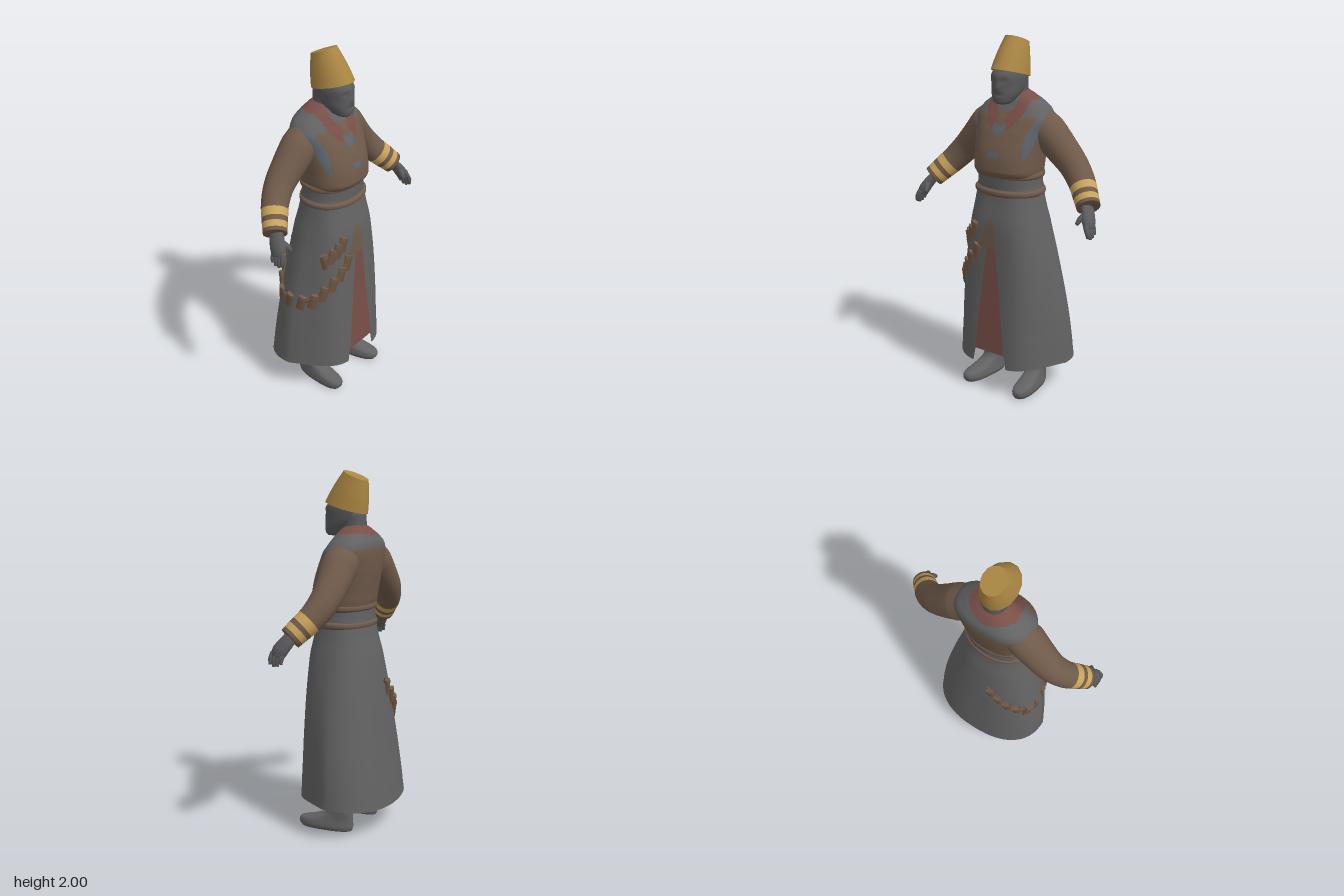
import * as THREE from 'three';

const mat = (name, color) => {
  const m = new THREE.MeshStandardMaterial({ color, side: THREE.DoubleSide });
  m.name = name;
  return m;
};

// Closed skin of rings; paint(point, v) picks a material for each face
function skin(name, rows, cols, point, mats, paint = () => 0, caps = true) {
  const pos = [], ring = [];
  for (let j = 0; j <= rows; j++) for (let i = 0; i < cols; i++) ring.push(point(i, j / rows));
  ring.forEach(p => pos.push(p.x, p.y, p.z));
  const lists = mats.map(() => []);
  for (let j = 0; j < rows; j++) for (let i = 0; i < cols; i++) {
    const k = (i + 1) % cols, a = j * cols + i, b = j * cols + k, c = a + cols, d = b + cols;
    const mid = ring[a].clone().add(ring[d]).multiplyScalar(0.5);
    lists[paint(mid, (j + 0.5) / rows)].push(a, c, b, b, c, d);
  }
  if (caps) for (const j of [0, rows]) {
    const c = new THREE.Vector3(), n = pos.length / 3;
    for (let i = 0; i < cols; i++) c.addScaledVector(ring[j * cols + i], 1 / cols);
    pos.push(c.x, c.y, c.z);
    for (let i = 0; i < cols; i++) {
      const a = j * cols + i, b = j * cols + (i + 1) % cols;
      lists[0].push(...(j ? [n, b, a] : [n, a, b]));
    }
  }
  const geo = new THREE.BufferGeometry();
  geo.setAttribute('position', new THREE.Float32BufferAttribute(pos, 3));
  geo.setIndex(lists.flat());
  let start = 0;
  if (mats.length > 1) lists.forEach((l, i) => { geo.addGroup(start, l.length, i); start += l.length; });
  geo.computeVertexNormals();
  const mesh = new THREE.Mesh(geo, mats.length > 1 ? mats : mats[0]);
  mesh.name = name;
  return mesh;
}

// Profile keys are [y, halfWidth, frontZ, backZ]
function at(keys, t) {
  const last = keys.length - 1, i = Math.min(Math.floor(t), last - 1), f = t - i;
  const [p, a, b, q] = [i - 1, i, i + 1, i + 2].map(k => keys[Math.max(0, Math.min(last, k))]);
  return a.map((v, c) => c === 0 ? v + (b[0] - v) * f
    : v + 0.5 * f * (b[c] - p[c] + f * (2 * p[c] - 5 * v + 4 * b[c] - q[c] + f * (3 * (v - b[c]) + q[c] - p[c]))));
}
function atY(keys, y) {
  let i = 0;
  while (i < keys.length - 2 && y > keys[i + 1][0]) i++;
  return at(keys, i + Math.max(0, Math.min(1, (y - keys[i][0]) / (keys[i + 1][0] - keys[i][0]))));
}
// Rounded outline; the front half may narrow toward +z by the share k
function around([y, rx, zf, zb], th, nf, nb = nf, k = 0, off = 0) {
  const n = Math.sin(th) > 0 ? nf : nb;
  const f = v => Math.sign(v) * Math.abs(v) ** (2 / n), s = f(Math.sin(th));
  return new THREE.Vector3((rx + off) * f(Math.cos(th)) * (1 - k * Math.max(0, s)), y,
    (zf + zb) / 2 + ((zf - zb) / 2 + off) * s);
}
function body(name, keys, mats, { cols = 40, sub = 4, n = 2.2, paint, sculpt = p => p } = {}) {
  return skin(name, (keys.length - 1) * sub, cols,
    (i, v) => sculpt(around(at(keys, v * (keys.length - 1)), i / cols * 2 * Math.PI, n)), mats, paint);
}

// Tapered limb through [x, y, z, radius] points
function limb(name, pts, mats, { rows = 16, cols = 12, flat = 1, paint } = {}) {
  const curve = new THREE.CatmullRomCurve3(pts.map(p => new THREE.Vector3(p[0], p[1], p[2])));
  return skin(name, rows, cols, (i, v) => {
    const s = v * (pts.length - 1), k = Math.min(Math.floor(s), pts.length - 2);
    const r = THREE.MathUtils.lerp(pts[k][3], pts[k + 1][3], s - k);
    const T = curve.getTangent(v), A = T.clone().cross(new THREE.Vector3(0, 0, 1)).normalize();
    const B = A.clone().cross(T), th = i / cols * 2 * Math.PI;
    return curve.getPoint(v).addScaledVector(A, r * flat * Math.cos(th)).addScaledVector(B, r * Math.sin(th));
  }, mats, paint);
}

// Skirt: oval at the waist, flat-fronted with slanting sides at the hem
const SKIRT = [[0.1, 0.36, 0.258, -0.26], [0.2, 0.352, 0.253, -0.25], [0.4, 0.335, 0.245, -0.225],
  [0.6, 0.303, 0.235, -0.2], [0.8, 0.263, 0.228, -0.175], [1.0, 0.22, 0.218, -0.145],
  [1.12, 0.195, 0.195, -0.115], [1.2, 0.185, 0.185, -0.105]];
const flare = y => THREE.MathUtils.clamp((1.2 - y) / 0.8, 0, 1);
const onSkirt = (th, y, off = 0) =>
  around(atY(SKIRT, y), th, 2.5 + 2.5 * flare(y), 2.3 + 0.1 * flare(y), 0.36 * flare(y), off);

// Thin cloth panel lying on the front of the skirt; ends are [y, leftX, rightX]
function frontPanel(name, lo, hi, off, material) {
  const geo = new THREE.PlaneGeometry(1, 1, 8, 16), p = geo.attributes.position;
  for (let i = 0; i < p.count; i++) {
    const [y, xa, xb] = lo.map((v, c) => THREE.MathUtils.lerp(v, hi[c], p.getY(i) + 0.5));
    const x = THREE.MathUtils.lerp(xa, xb, p.getX(i) + 0.5), [, rx, zf, zb] = atY(SKIRT, y);
    const n = 2.5 + 2.5 * flare(y), u = Math.abs(x) / (rx * (1 - 0.36 * flare(y)));
    p.setXYZ(i, x, y, (zf + zb) / 2 + (zf - zb) / 2 * (1 - u ** n) ** (1 / n) + off);
  }
  geo.computeVertexNormals();
  const mesh = new THREE.Mesh(geo, material);
  mesh.name = name;
  return mesh;
}

export function createModel() {
  const g = new THREE.Group();
  g.name = 'robedFigure';
  const grey = mat('grey cloth', 0x626262), slate = mat('slate trim', 0x5c646c), brown = mat('brown cloth', 0x6f5a4a);
  const red = mat('dull red', 0x784e48), gold = mat('hat gold', 0xaa8643), band = mat('pale gold', 0xc8a45c);
  const leather = mat('leather', 0x705540), skinGrey = mat('dark grey skin', 0x5a5a5c);

  // Long skirt with a notch at the front hem
  const angles = [...Array(72).keys()].map(i => i * 5).concat(1.5, 79.1, 82.4, 87.5, 92.5, 97.6, 100.9, 178.5).sort((a, b) => a - b);
  g.add(skin('skirt', 28, angles.length, (i, v) => {
    const th = angles[i] * Math.PI / 180;
    const hem = Math.abs(angles[i] - 90) < 7.7 ? 0.25 : 0.165 + 0.018 * Math.abs(Math.cos(th)) + 0.015 * Math.min(0, Math.sin(th));
    return onSkirt(th, hem + (1.2 - hem) * v);
  }, [grey], undefined, false));
  const lo = [0.25, -0.1, 0.1], hi = [0.86, -0.03, 0.03];
  g.add(frontPanel('redPanel', lo, hi, 0.004, red), frontPanel('redPanelLining', lo, hi, -0.006, red));
  g.add(frontPanel('frontFlap', [0.86, -0.08, 0.03], [1.03, -0.025, 0.012], 0.004, brown));

  // Waistband with two rolled edges
  g.add(body('waistband', [[1.15, 0.19, 0.192, -0.108], [1.21, 0.183, 0.195, -0.106], [1.28, 0.183, 0.2, -0.106]], [grey]));
  for (const [y, r] of [[1.17, 0.197], [1.265, 0.19]]) {
    g.add(body('waistEdge', [-0.02, -0.01, 0.01, 0.02].map((d, i) => {
      const o = i % 3 ? 0.004 : -0.008;
      return [y + d, r + o, r + 0.005 + o, -0.11 - o];
    }), [brown]));
  }

  // Tunic with yoke, open collar and chest trim
  const tunicPaint = ({ x, y, z }) => {
    const ax = Math.abs(x);
    if (z < 0) return y > 1.64 && Math.hypot(ax / 0.14, z / 0.119) < 1 ? 2 : y > 1.585 ? 1 : 0;
    const e = Math.hypot(ax / 0.13, (y - 1.665) / 0.16);
    if (ax < 0.035 && y > 1.48 + ax && y < 1.53 + ax * 0.6) return 3;
    if (e < 1) return e > 0.5 && (ax > 0.03 || y > 1.62) ? 2 : y > 1.6 ? 1 : 0;
    if (y > 1.59) return 1;
    if (ax > 0.155 && y > 1.36 && Math.abs(z - 0.06 - (1.56 - y) * 0.6) < 0.027) return 3;
    return ax < 0.035 && Math.abs(y - 1.385) < 0.012 ? 3 : 0;
  };
  g.add(body('tunic', [[1.25, 0.176, 0.19, -0.1], [1.275, 0.186, 0.214, -0.109], [1.3, 0.19, 0.222, -0.115],
    [1.4, 0.198, 0.205, -0.13], [1.5, 0.212, 0.165, -0.143], [1.57, 0.228, 0.125, -0.145],
    [1.62, 0.198, 0.092, -0.138], [1.66, 0.145, 0.07, -0.115], [1.69, 0.095, 0.05, -0.09], [1.71, 0.06, 0.03, -0.07]],
  [brown, grey, red, slate], { cols: 96, sub: 6, n: 2.4, paint: tunicPaint }));

  // Neck, and head with sculpted nose, eye sockets and mouth
  g.add(body('neck', [[1.6, 0.075, 0.06, -0.08], [1.68, 0.066, 0.06, -0.075], [1.78, 0.068, 0.06, -0.07]], [skinGrey]));
  const bump = (d, w) => Math.exp(-((d / w) ** 2));
  g.add(body('head', [[1.648, 0.035, 0.15, 0.07], [1.66, 0.052, 0.163, 0.045], [1.7, 0.072, 0.166, -0.01],
    [1.74, 0.08, 0.164, -0.055], [1.8, 0.084, 0.163, -0.068], [1.86, 0.07, 0.11, -0.045]], [skinGrey], {
    cols: 64, sub: 6, sculpt: p => {
      if (p.z > 0.08) {
        p.z += 0.011 * bump(p.x, 0.016) * bump(p.y - 1.74, 0.02) - 0.005 * bump(p.y - 1.7, 0.008) * bump(p.x, 0.035);
        p.z -= 0.01 * bump(Math.abs(p.x) - 0.034, 0.018) * bump(p.y - 1.775, 0.014);
      }
      return p;
    }
  }));

  // Tall tilted hat, narrowing to the top; doubled end rings keep the rims sharp
  g.add(skin('hat', 6, 14, (i, t) => {
    const v = THREE.MathUtils.clamp((t * 6 - 1) / 4, 0, 1), L = (a, b) => THREE.MathUtils.lerp(a, b, v);
    const th = i / 14 * 2 * Math.PI, bulge = 1 + 0.16 * v * (1 - v), dz = Math.sin(th) * L(0.124, 0.07) * bulge;
    return new THREE.Vector3(Math.cos(th) * L(0.096, 0.064) * bulge, L(1.8, 1.972) + dz * L(0.27, 0.4), L(0.042, -0.018) + dz);
  }, [gold]));

  for (const s of [1, -1]) {
    const side = s > 0 ? 'left' : 'right', m = pts => pts.map(([x, ...r]) => [s * x, ...r]);
    // Sleeve with two pale bands
    g.add(limb(side + 'Sleeve', m([[0.12, 1.555, -0.025, 0.09], [0.2, 1.495, -0.025, 0.1], [0.275, 1.42, -0.03, 0.091],
      [0.36, 1.335, -0.028, 0.08], [0.43, 1.26, 0, 0.073], [0.485, 1.2, 0.045, 0.068], [0.525, 1.155, 0.08, 0.063]]),
    [brown, band], { rows: 72, cols: 28, paint: (p, v) => {
      const t = v * 6;
      return (t > 4.33 && t < 4.83) || (t > 5.16 && t < 5.66) ? 1 : 0;
    } }));
    // Hand with four fingers and a thumb
    const hand = new THREE.Group();
    hand.name = side + 'Hand';
    hand.add(limb('palm', m([[0.51, 1.17, 0.075, 0.038], [0.535, 1.13, 0.1, 0.044], [0.555, 1.09, 0.125, 0.047], [0.565, 1.06, 0.133, 0.038]]),
      [skinGrey], { flat: 0.6 }));
    for (let f = 0; f < 4; f++) {
      const z = 0.1 + f * 0.021, d = [0.015, 0.003, 0, 0.01][f];
      hand.add(limb('finger', m([[0.558, 1.085, z, 0.014], [0.574, 1.05, z + 0.006, 0.014], [0.58, 1.01 + d, z + 0.006, 0.009]]),
        [skinGrey], { rows: 6, cols: 8 }));
    }
    hand.add(limb('thumb', m([[0.535, 1.125, 0.125, 0.02], [0.518, 1.105, 0.155, 0.016], [0.51, 1.082, 0.172, 0.01]]),
      [skinGrey], { rows: 6, cols: 8 }));
    g.add(hand);
    // Boot turned slightly outward
    const boot = body(side + 'Boot', [[0, 0.052, 0.235, -0.07], [0.02, 0.058, 0.248, -0.075], [0.05, 0.054, 0.242, -0.075],
      [0.068, 0.05, 0.17, -0.074], [0.095, 0.048, 0.09, -0.072], [0.13, 0.048, 0.064, -0.07],
      [0.25, 0.053, 0.06, -0.07], [0.6, 0.06, 0.065, -0.07]], [grey], { cols: 28, n: 2.5 });
    boot.position.x = s * 0.152;
    boot.rotation.y = s * 0.12;
    g.add(boot);
  }

  // Two straps of pouches slung around the right hip: [degrees, y]
  const straps = [[[111, 0.98], [122, 0.94], [138, 0.9], [160, 0.85]],
    [[99, 0.88], [113, 0.8], [148, 0.69], [175, 0.61], [200, 0.6], [225, 0.66], [245, 0.75], [262, 0.85]]];
  straps.forEach((keys, k) => {
    const curve = new THREE.CatmullRomCurve3(keys.map(([a, y]) => onSkirt(a * Math.PI / 180, y, 0.002)));
    const strap = new THREE.Mesh(new THREE.TubeGeometry(curve, 48, 0.01, 6), leather);
    strap.name = 'pouchStrap';
    g.add(strap);
    const count = k ? 12 : 4;
    for (let i = 0; i < count; i++) {
      const p = curve.getPointAt((i + 0.7) / (count + 0.4)), out = new THREE.Vector3(p.x, 0, p.z * 1.8).normalize();
      const pouch = new THREE.Group();
      pouch.name = 'pouch';
      const bag = new THREE.Mesh(new THREE.CylinderGeometry(0.025, 0.029, 0.075, 6), leather);
      const lid = new THREE.Mesh(new THREE.CylinderGeometry(0.026, 0.028, 0.02, 6), brown);
      bag.name = 'pouchBag';
      lid.name = 'pouchLid';
      lid.position.y = 0.042;
      pouch.add(bag, lid);
      // Pouches at the front sit closer to the cloth
      pouch.position.copy(p).addScaledVector(out, p.z > 0.14 ? -0.002 : 0.006).add(new THREE.Vector3(0, -0.015, 0));
      pouch.rotation.set(0.08, Math.atan2(out.x, out.z), i < count * 0.6 ? -0.25 : 0.25, 'YXZ');
      pouch.scale.z = 0.55;
      g.add(pouch);
    }
  });
  return g;
}
